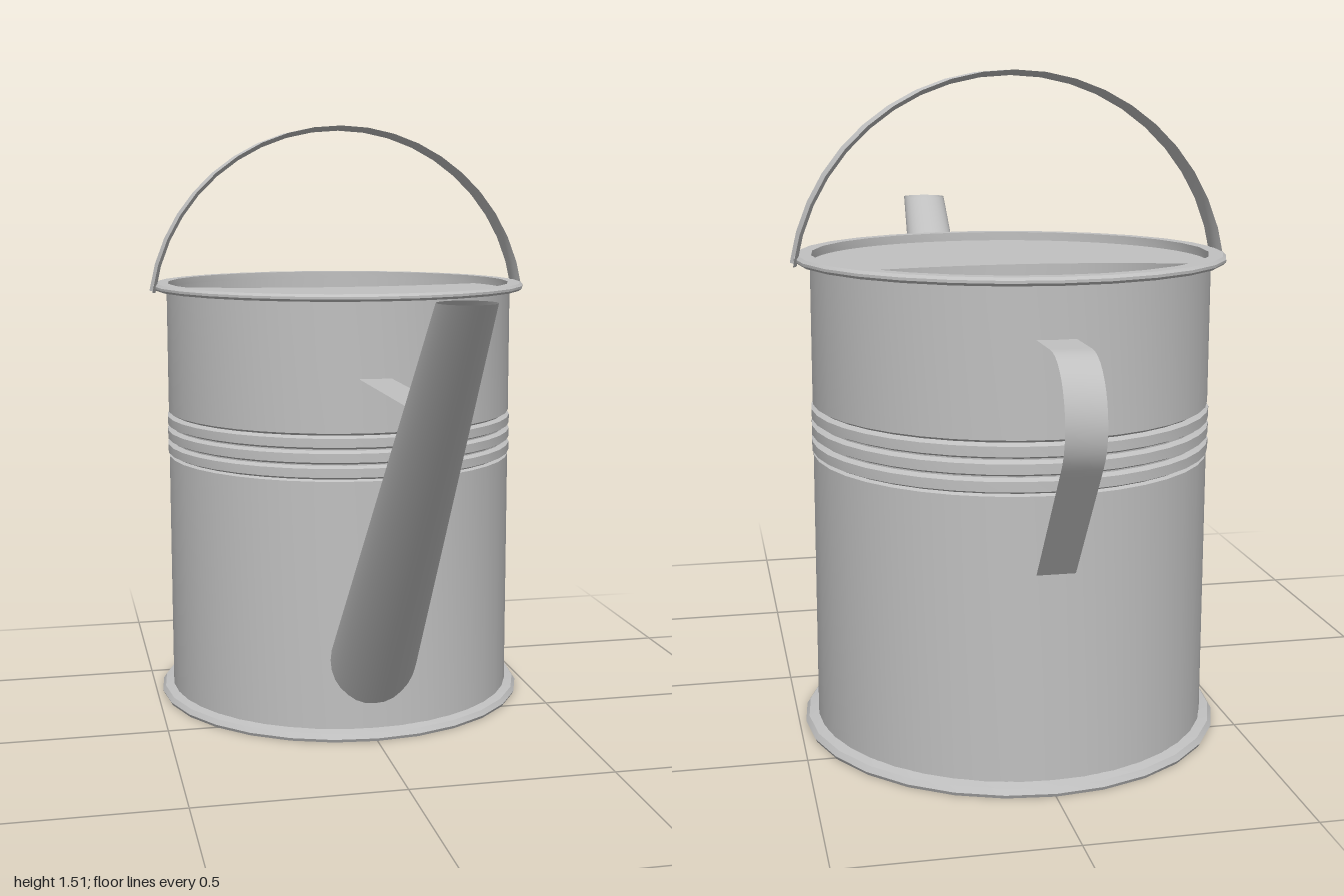
import * as THREE from 'three';
import { toCreasedNormals } from 'three/addons/utils/BufferGeometryUtils.js';

const CZ = -0.3;   // centre of the can along z
const R = 0.455;   // can radius

export function createModel() {
  const group = new THREE.Group();
  group.name = 'wateringCan';
  const metal = new THREE.MeshStandardMaterial({ color: 0xc0c0c0, side: THREE.DoubleSide });
  metal.name = 'galvanised metal';

  const add = (name, geometry, z = 0) => {
    const mesh = new THREE.Mesh(geometry, metal);
    mesh.name = name;
    mesh.position.z = z;
    group.add(mesh);
  };

  // Surface of revolution with crisp profile corners
  const lathe = (points, segments) => toCreasedNormals(
    new THREE.LatheGeometry(points.map(p => new THREE.Vector2(...p)), segments), 0.6);

  // Open sheet sampled from fn(u, v) -> [x, y, z]
  const sheet = (nu, nv, fn) => {
    const pos = [], index = [];
    for (let i = 0; i <= nu; i++) {
      for (let j = 0; j <= nv; j++) {
        pos.push(...fn(i / nu, j / nv));
        if (i < nu && j < nv) {
          const a = i * (nv + 1) + j, b = a + nv + 1;
          index.push(a, b, a + 1, b, b + 1, a + 1);
        }
      }
    }
    const g = new THREE.BufferGeometry();
    g.setAttribute('position', new THREE.Float32BufferAttribute(pos, 3));
    g.setIndex(index);
    return toCreasedNormals(g, 0.7);
  };

  // Can wall with three beads separated by grooves
  const wall = [[R, 0.01], [R, 0.65]];
  for (const y of [0.66, 0.697, 0.734]) {
    wall.push([R - 0.01, y - 0.006], [R + 0.003, y], [R + 0.003, y + 0.022], [R - 0.01, y + 0.028]);
  }
  wall.push([R, 0.768], [R, 1.1]);
  add('canWall', lathe(wall, 40), CZ);

  // Base with its foot ring
  add('base', lathe([[0, 0], [0.482, 0], [0.486, 0.008], [0.478, 0.02], [R, 0.025]], 28), CZ);

  // Rolled top rim
  add('topRim', lathe([[R - 0.003, 1.088], [0.484, 1.088], [0.491, 1.094], [0.491, 1.1],
    [0.484, 1.106], [R - 0.003, 1.106], [R - 0.003, 1.088]], 28), CZ);

  // Partial lid with a concave back edge
  const lidR = R - 0.002, a = Math.asin(0.16 / lidR);
  const lid = new THREE.Shape();
  lid.absarc(0, 0, lidR, a, Math.PI - a, true);
  lid.quadraticCurveTo(0, 0, lidR * Math.cos(a), 0.16);
  const lidGeo = new THREE.ShapeGeometry(lid, 32);
  lidGeo.rotateX(-Math.PI / 2);
  lidGeo.translate(0, 1.085, 0);
  add('lid', lidGeo, CZ);

  // Tapered spout from the curved wall to a level mouth
  add('spout', sheet(6, 28, (u, v) => {
    const t = v * Math.PI * 2, c = Math.cos(t), s = Math.sin(t);
    const bx = 0.11 * c;
    const foot = new THREE.Vector3(bx, 0.2 + 0.115 * s, CZ + Math.sqrt(R * R - bx * bx) - 0.003);
    const mouth = new THREE.Vector3(0.06 * c, 1.142, 0.938 - 0.061 * s);
    return foot.lerp(mouth, u).toArray();
  }));

  // Flat brace between can and spout
  add('spoutBrace', sheet(1, 1, (u, v) => [0.08 * (v - 0.5), 0.9, 0.15 + 0.53 * u]));

  // Carrying bail: arched strip, slightly dished across its width
  const span = Math.asin(0.49 / 0.5);
  add('bailHandle', sheet(20, 6, (u, v) => {
    const t = (u * 2 - 1) * (span + 0.05), w = v * 2 - 1;
    const r = 0.49 + 0.012 * w * w;
    return [r * Math.sin(t), 1.01 + r * Math.cos(t), CZ + 0.047 * w];
  }));

  // Rear grip: bent strip
  const grip = new THREE.CurvePath();
  const P = (y, z) => new THREE.Vector3(0, y, z);
  grip.add(new THREE.LineCurve3(P(0.975, -0.745), P(0.975, -0.87)));
  grip.add(new THREE.CubicBezierCurve3(P(0.975, -0.87), P(0.975, -0.97), P(0.85, -1.025), P(0.765, -0.97)));
  grip.add(new THREE.LineCurve3(P(0.765, -0.97), P(0.485, -0.765)));
  add('rearGrip', sheet(36, 1, (u, v) => {
    const p = grip.getPoint(u);
    return [0.084 * (v - 0.5), p.y, p.z];
  }));

  return group;
}
